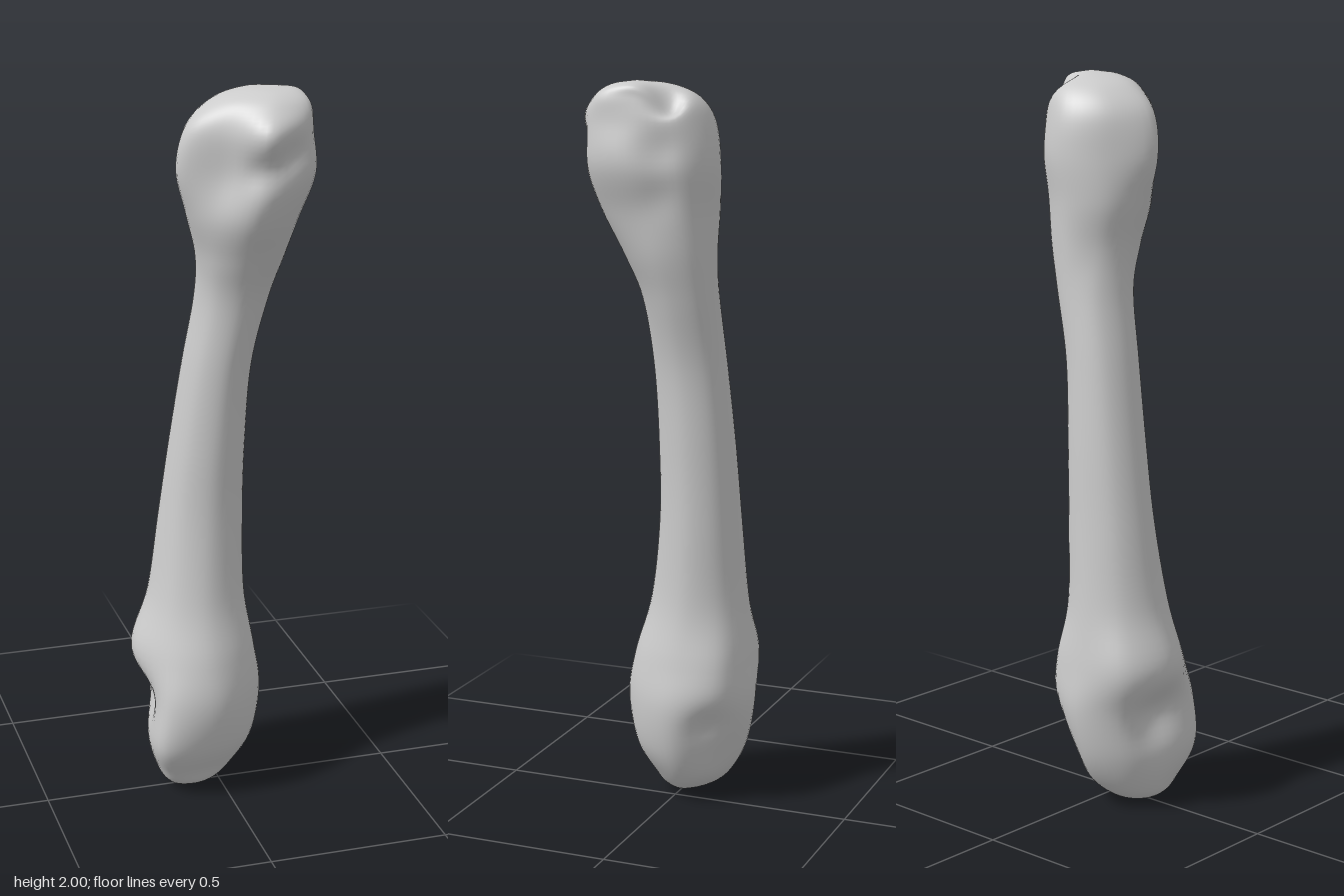
import * as THREE from 'three';

const SIDES = 8;    // radii per cross-section, from +x round through +z
const AROUND = 48;  // finished points around the bone
const ALONG = 110;  // finished rings along the bone

// Cross-sections: [height, centre x, centre z, radii...]
const headSections = [
  [0.0, -0.08, -0.01, 0, 0, 0, 0, 0, 0, 0, 0],
  [0.02, -0.08, -0.015, 0.08, 0.07, 0.07, 0.08, 0.07, 0.065, 0.065, 0.065],
  [0.07, -0.06, -0.03, 0.12, 0.11, 0.11, 0.145, 0.12, 0.11, 0.11, 0.105],
  [0.16, -0.05, -0.03, 0.155, 0.155, 0.158, 0.2, 0.15, 0.15, 0.16, 0.135],
  [0.29, -0.04, -0.03, 0.167, 0.165, 0.18, 0.2, 0.155, 0.175, 0.187, 0.18],
  [0.415, -0.05, -0.04, 0.16, 0.165, 0.17, 0.17, 0.187, 0.19, 0.17, 0.178],
];
// Shaft is elliptical: [height, centre x, centre z, radius x, radius z]
const shaftSections = [
  [0.575, -0.05, -0.055, 0.137, 0.137],
  [0.8, -0.033, -0.063, 0.119, 0.114],
  [1.01, -0.015, -0.06, 0.106, 0.106],
  [1.235, 0.01, -0.05, 0.096, 0.101],
  [1.42, 0.047, -0.037, 0.102, 0.104],
];
const baseSections = [
  [1.54, 0.057, -0.015, 0.125, 0.13, 0.125, 0.115, 0.113, 0.115, 0.125, 0.125],
  [1.66, 0.06, 0.01, 0.142, 0.165, 0.16, 0.13, 0.147, 0.15, 0.155, 0.148],
  [1.78, 0.08, 0.02, 0.155, 0.188, 0.183, 0.125, 0.197, 0.17, 0.172, 0.155],
  [1.89, 0.08, 0.03, 0.14, 0.178, 0.192, 0.125, 0.175, 0.165, 0.168, 0.152],
  [1.955, 0.1, 0.03, 0.11, 0.15, 0.138, 0.115, 0.13, 0.13, 0.13, 0.125],
  [1.987, 0.125, 0.04, 0.075, 0.085, 0.075, 0.07, 0.075, 0.075, 0.075, 0.07],
  [1.997, 0.14, 0.05, 0, 0, 0, 0, 0, 0, 0, 0],
];

// Local hollows: centre, push (direction and depth), reach
const hollow = (c, p, reach) => ({
  centre: new THREE.Vector3(...c), push: new THREE.Vector3(...p), reach,
});
const hollows = [
  hollow([0.18, 1.96, -0.045], [-0.025, -0.05, 0], 0.045),  // notch between the top lobes
  hollow([0.23, 1.82, -0.045], [-0.02, 0, 0], 0.06),        // groove below the notch
  hollow([0.22, 1.71, -0.05], [-0.012, 0, 0], 0.06),
  hollow([0.06, 1.8, 0.2], [0, 0, -0.025], 0.05),           // crease under the front lip
  hollow([0.14, 1.84, 0.2], [0, 0, -0.025], 0.05),
  hollow([-0.2, 0.27, -0.06], [0.025, 0, 0.01], 0.07),      // side pits of the head
  hollow([0.1, 0.24, -0.14], [-0.018, 0, 0.012], 0.06),
];

// Corner points of one cross-section
function ring([y, cx, cz, ...r]) {
  return Array.from({ length: SIDES }, (_, k) => {
    const a = (k / SIDES) * Math.PI * 2;
    const rx = r.length === 2 ? r[0] : r[k];
    const rz = r.length === 2 ? r[1] : r[k];
    return new THREE.Vector3(cx + rx * Math.cos(a), y, cz + rz * Math.sin(a));
  });
}

// Smooth skin through the sections, with shared vertices all round
function loft(sections) {
  const rings = sections.map(ring);
  const rails = Array.from({ length: SIDES }, (_, k) =>
    new THREE.CatmullRomCurve3(rings.map((r) => r[k]), false, 'catmullrom', 0.5));
  const positions = [];
  const index = [];
  for (let i = 0; i <= ALONG; i++) {
    const corners = rails.map((rail) => rail.getPoint(i / ALONG));
    const loop = new THREE.CatmullRomCurve3(corners, true, 'catmullrom', 0.5);
    for (let j = 0; j < AROUND; j++) {
      const p = loop.getPoint(j / AROUND);
      const start = p.clone();
      for (const h of hollows) {
        const d = start.distanceTo(h.centre) / h.reach;
        p.addScaledVector(h.push, Math.exp(-d * d));
      }
      positions.push(p.x, Math.max(p.y, 0), p.z);
      if (i < ALONG) {
        const a = i * AROUND + j;
        const c = i * AROUND + ((j + 1) % AROUND);
        index.push(a, a + AROUND, c, c, a + AROUND, c + AROUND);
      }
    }
  }
  const geometry = new THREE.BufferGeometry();
  geometry.setAttribute('position', new THREE.Float32BufferAttribute(positions, 3));
  geometry.setIndex(index);
  geometry.computeVertexNormals();
  return geometry;
}

export function createModel() {
  const group = new THREE.Group();
  group.name = 'footBone';
  // Rounded head, shaft and wedge-shaped base in one continuous skin
  const bone = new THREE.Mesh(
    loft([...headSections, ...shaftSections, ...baseSections]),
    new THREE.MeshStandardMaterial({ color: 0xcccccc }),
  );
  bone.name = 'bone';
  group.add(bone);
  return group;
}
